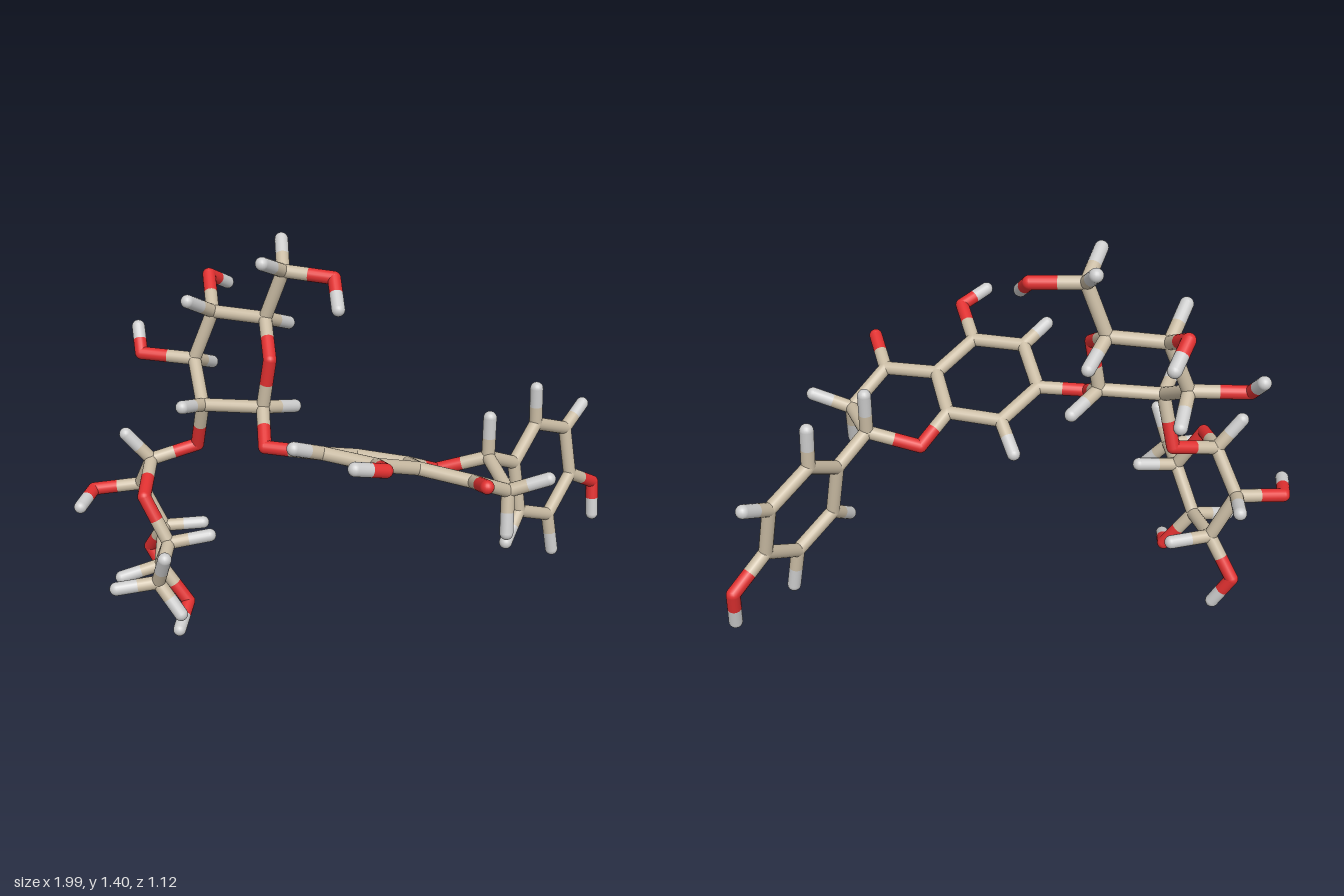
import * as THREE from 'three';
import { mergeGeometries } from 'three/addons/utils/BufferGeometryUtils.js';

const RADIUS = 0.024;
const COLORS = { C: 0xc9bba3, O: 0xe03030, H: 0xcfcfcf };
const NAMES = { C: 'carbonSticks', O: 'oxygenSticks', H: 'hydrogenSticks' };

// Each part: atom positions (first letter = element) and chains of bonded atoms
const PARTS = {
  fusedRings: {
    atoms: {
      C7: [-0.09, 0.755, 0.085], C8: [0.05, 0.69, -0.03], C8a: [0.235, 0.695, 0.03],
      C4a: [0.27, 0.765, 0.2], C5: [0.13, 0.835, 0.315], C6: [-0.05, 0.84, 0.25],
      O1: [0.335, 0.62, -0.07], C2: [0.52, 0.68, -0.06], C3: [0.58, 0.66, 0.15],
      C4: [0.455, 0.755, 0.265], O4: [0.49, 0.815, 0.41], O5: [0.165, 0.9, 0.475],
      H5: [0.07, 0.935, 0.535], H8: [0.012, 0.615, -0.135], H6: [-0.14, 0.89, 0.32],
      H2: [0.52, 0.83, -0.07], H3a: [0.58, 0.515, 0.19], H3b: [0.715, 0.715, 0.16],
    },
    bonds: ['C7 C8 C8a C4a C5 C6 C7', 'C8a O1 C2 C3 C4 C4a', 'C4 O4', 'C5 O5 H5',
      'C8 H8', 'C6 H6', 'C2 H2', 'H3a C3 H3b'],
  },
  phenolRing: {
    atoms: {
      Cp1: [0.622, 0.605, -0.165], Cp2: [0.705, 0.698, -0.303], Cp3: [0.83, 0.62, -0.43],
      Cp4: [0.86, 0.435, -0.41], Cp5: [0.77, 0.335, -0.265], Cp6: [0.65, 0.413, -0.148],
      Op: [0.965, 0.345, -0.515], Hp: [0.972, 0.215, -0.49], Hp2: [0.7, 0.84, -0.305],
      Hp3: [0.9, 0.68, -0.525], Hp5: [0.795, 0.185, -0.26], Hp6: [0.6, 0.335, -0.048],
    },
    bonds: ['C2 Cp1 Cp2 Cp3 Cp4 Cp5 Cp6 Cp1', 'Cp4 Op Hp', 'Cp2 Hp2', 'Cp3 Hp3', 'Cp5 Hp5', 'Cp6 Hp6'],
  },
  upperSugarRing: {
    atoms: {
      Oa7: [-0.265, 0.755, 0.05], Ca1: [-0.285, 0.84, -0.095], Ca2: [-0.505, 0.83, -0.125],
      Ca3: [-0.555, 0.935, -0.295], Ca4: [-0.48, 1.12, -0.3], Ca5: [-0.285, 1.12, -0.245],
      Oa5: [-0.255, 1.025, -0.09], Ca6: [-0.215, 1.305, -0.225], Oa6: [-0.035, 1.295, -0.19],
      Ha7: [-0.015, 1.22, -0.083], Oa3: [-0.755, 0.94, -0.325], Ha8: [-0.775, 1.015, -0.4],
      Oa4: [-0.51, 1.205, -0.45], Ha9: [-0.455, 1.145, -0.535], Ha1: [-0.18, 0.8, -0.195],
      Ha2: [-0.56, 0.87, -0.015], Ha3: [-0.51, 0.87, -0.42], Ha4: [-0.55, 1.2, -0.185],
      Ha5: [-0.212, 1.06, -0.355], Ha6a: [-0.275, 1.372, -0.105], Ha6b: [-0.23, 1.382, -0.34],
    },
    bonds: ['C7 Oa7 Ca1 Ca2 Ca3 Ca4 Ca5 Oa5 Ca1', 'Ca5 Ca6 Oa6 Ha7', 'Ca3 Oa3 Ha8', 'Ca4 Oa4 Ha9',
      'Ca1 Ha1', 'Ca2 Ha2', 'Ca3 Ha3', 'Ca4 Ha4', 'Ca5 Ha5', 'Ha6a Ca6 Ha6b'],
  },
  lowerSugarRing: {
    atoms: {
      Ob: [-0.54, 0.645, -0.175], Cb1: [-0.705, 0.605, -0.125], Cb2: [-0.77, 0.455, -0.21],
      Cb3: [-0.69, 0.28, -0.2], Cb4: [-0.67, 0.235, 0.01], Cb5: [-0.615, 0.39, 0.11],
      Ob5: [-0.7, 0.555, 0.07], Cb6: [-0.62, 0.355, 0.315], Ob2: [-0.945, 0.437, -0.19],
      Hb7: [-0.97, 0.428, -0.065], Ob3: [-0.765, 0.14, -0.275], Hb8: [-0.705, 0.03, -0.255],
      Ob4: [-0.57, 0.09, 0.03], Hb9: [-0.587, 0.047, 0.155], Hb1: [-0.79, 0.71, -0.115],
      Hb2: [-0.75, 0.483, -0.36], Hb3: [-0.545, 0.28, -0.23], Hb4: [-0.81, 0.2, 0.05],
      Hb5: [-0.47, 0.412, 0.085], Hb6a: [-0.58, 0.485, 0.375], Hb6b: [-0.54, 0.25, 0.352],
      Hb6c: [-0.76, 0.345, 0.35],
    },
    bonds: ['Ca2 Ob Cb1 Cb2 Cb3 Cb4 Cb5 Ob5 Cb1', 'Cb5 Cb6 Hb6a', 'Hb6b Cb6 Hb6c', 'Cb2 Ob2 Hb7',
      'Cb3 Ob3 Hb8', 'Cb4 Ob4 Hb9', 'Cb1 Hb1', 'Cb2 Hb2', 'Cb3 Hb3', 'Cb4 Hb4', 'Cb5 Hb5'],
  },
};

// Round rod between two points
function rod(a, b) {
  const dir = b.clone().sub(a);
  const geo = new THREE.CylinderGeometry(RADIUS, RADIUS, dir.length(), 18, 1, true);
  geo.applyQuaternion(new THREE.Quaternion().setFromUnitVectors(new THREE.Vector3(0, 1, 0), dir.normalize()));
  const mid = a.clone().lerp(b, 0.5);
  return geo.translate(mid.x, mid.y, mid.z);
}

export function createModel() {
  const model = new THREE.Group();
  model.name = 'stickMolecule';
  const positions = {};
  for (const part of Object.values(PARTS)) {
    for (const [id, p] of Object.entries(part.atoms)) positions[id] = new THREE.Vector3(...p);
  }
  const materials = {};
  for (const e in COLORS) materials[e] = new THREE.MeshStandardMaterial({ color: COLORS[e] });

  for (const [name, part] of Object.entries(PARTS)) {
    const group = new THREE.Group();
    group.name = name;
    const pieces = { C: [], O: [], H: [] };

    // Rounded joints and tips
    for (const id of Object.keys(part.atoms)) {
      const p = positions[id];
      pieces[id[0]].push(new THREE.SphereGeometry(RADIUS, 18, 12).translate(p.x, p.y, p.z));
    }

    // Every bond is two half rods, each in its own atom's colour
    for (const chain of part.bonds) {
      const ids = chain.split(' ');
      for (let i = 0; i + 1 < ids.length; i++) {
        const a = positions[ids[i]], b = positions[ids[i + 1]];
        const mid = a.clone().lerp(b, 0.5);
        pieces[ids[i][0]].push(rod(a, mid));
        pieces[ids[i + 1][0]].push(rod(mid, b));
      }
    }

    for (const e in pieces) {
      const mesh = new THREE.Mesh(mergeGeometries(pieces[e]), materials[e]);
      mesh.name = NAMES[e];
      group.add(mesh);
    }
    model.add(group);
  }
  return model;
}
